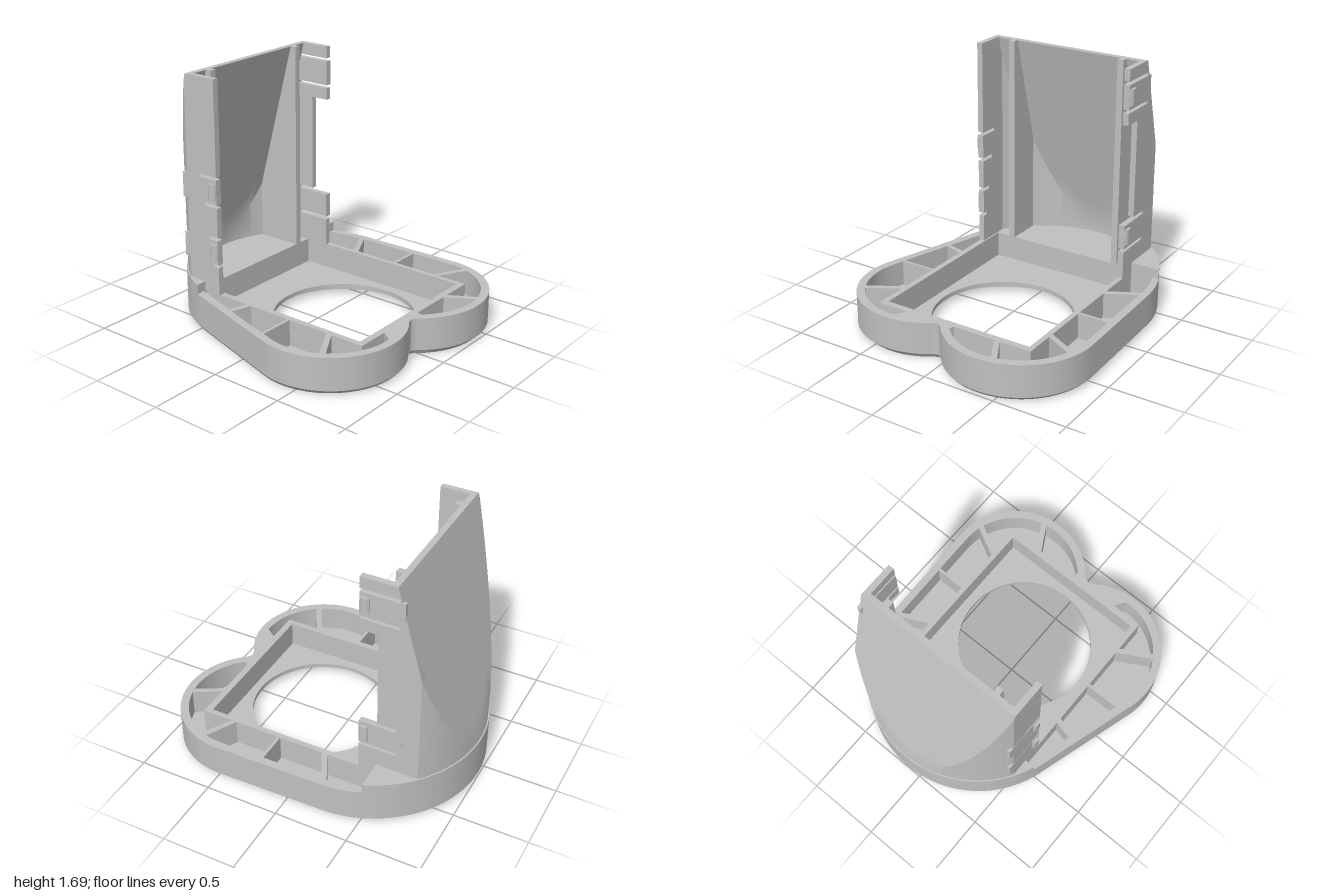
import * as THREE from 'three';
import { toCreasedNormals } from 'three/addons/utils/BufferGeometryUtils.js';

const DEG = Math.PI / 180;
const CX = -0.235, CZ = -0.1, R = 0.755;      // centre and radius of the round rear
const ZF = 0.54, ZB = -0.61, WALL = 0.04;     // tower side faces
const FLOOR = 0.25, TOP = 1.69, EDGE = -0.385;

// Points on an arc in the ground plane, as [x, z]
function arc(cx, cz, r, from, to, n = 32) {
  return Array.from({ length: n + 1 }, (_, i) => {
    const a = (from + (to - from) * i / n) * DEG;
    return [cx + r * Math.cos(a), cz + r * Math.sin(a)];
  });
}

// Ground-plane points as counterclockwise shape points
function loop(pts) {
  const out = pts.map(([x, z]) => new THREE.Vector2(x, -z));
  return THREE.ShapeUtils.isClockWise(out) ? out.reverse() : out;
}

// Horizontal slab between two heights, with holes
function slab(outline, holes, y0, y1) {
  const shape = new THREE.Shape(loop(outline));
  holes.forEach((h) => shape.holes.push(new THREE.Path(loop(h))));
  const g = new THREE.ExtrudeGeometry(shape, { depth: y1 - y0, bevelEnabled: false });
  return g.rotateX(-Math.PI / 2).translate(0, y0, 0);
}

// Upright plate drawn in x, y and extruded along z
function plate(pts, z0, z1) {
  const shape = new THREE.Shape(pts.map(([x, y]) => new THREE.Vector2(x, y)));
  return new THREE.ExtrudeGeometry(shape, { depth: z1 - z0, bevelEnabled: false }).translate(0, 0, z0);
}

function box(x0, x1, y0, y1, z0, z1) {
  return new THREE.BoxGeometry(x1 - x0, y1 - y0, z1 - z0)
    .translate((x0 + x1) / 2, (y0 + y1) / 2, (z0 + z1) / 2);
}

// Rear profile at one z: upright on the cylinder, then leaning along the slope
function rearProfile(z, inset) {
  const xc = CX - Math.sqrt((R - inset) ** 2 - (z - CZ) ** 2);
  const slope = (y) => -0.625 + inset - (TOP - y) * 0.27;
  const yc = THREE.MathUtils.clamp(TOP - (slope(TOP) - xc) / 0.27, FLOOR + 0.01, TOP - 0.02);
  const heights = [FLOOR, yc, Math.min(yc + 0.15, TOP - 0.01), TOP];
  return heights.map((y) => [Math.max(xc, slope(y)), y]);
}

// Curved rear skin; one row meets exactly on the crease
function rearSkin(z0, z1, inset, inward) {
  const n = 48, pos = [], idx = [];
  for (let i = 0; i <= n; i++) {
    const z = z0 + (z1 - z0) * i / n;
    rearProfile(z, inset).forEach(([x, y]) => pos.push(x, y, z));
  }
  for (let i = 0; i < n; i++) {
    for (let j = 0; j < 3; j++) {
      const a = i * 4 + j, b = a + 4, c = a + 1, d = b + 1;
      if (inward) idx.push(a, c, b, b, c, d);
      else idx.push(a, b, c, b, d, c);
    }
  }
  const g = new THREE.BufferGeometry();
  g.setAttribute('position', new THREE.Float32BufferAttribute(pos, 3));
  g.setIndex(idx);
  return g;
}

export function createModel() {
  const model = new THREE.Group();
  const grey = new THREE.MeshStandardMaterial({ color: 0xc0c0c0 });
  grey.name = 'grey plastic';
  function add(name, geometry, parent) {
    const mesh = new THREE.Mesh(toCreasedNormals(geometry, 0.45), grey);
    mesh.name = name;
    parent.add(mesh);
  }

  // Base outline: round rear and two front lobes with a small notch
  const outline = [
    ...arc(CX, CZ, 0.765, 107.5, 269, 48),
    ...arc(0.5, -0.38, 0.5, 270, 412, 48),
    [0.79, 0.035], [0.785, 0.052], [0.788, 0.07],
    ...arc(0.4, 0.38, 0.49, -36, 107, 48),
  ];
  const opening = (r) => arc(0.19, -0.04, r, 0, 354.375, 63);

  // Square pocket and the ribbed cells around it
  const cells = [
    [[-0.55, -0.575], [0.715, -0.575], [0.715, 0.49], [-0.55, 0.49]],
    [[-0.51, -0.77], [-0.38, -0.805], [-0.27, -0.815], [-0.165, -0.61], [-0.51, -0.61]],
    [[-0.23, -0.815], [0.18, -0.82], [0.18, -0.61], [-0.125, -0.61]],
    [[0.2, -0.822], ...arc(0.5, -0.38, 0.445, 270, 285, 6), [0.51, -0.61], [0.2, -0.61]],
    [...arc(0.5, -0.38, 0.445, 290, 346, 16), [0.76, -0.39], [0.76, -0.61], [0.55, -0.61]],
    [...arc(0.5, -0.38, 0.445, 351, 409, 16), [0.76, -0.055], [0.76, -0.35]],
    [[-0.51, 0.555], [-0.19, 0.655], [-0.16, 0.53], [-0.51, 0.53]],
    [[-0.165, 0.665], [0.18, 0.77], [0.18, 0.53], [-0.12, 0.53]],
    [[0.2, 0.775], ...arc(0.4, 0.38, 0.435, 107, 60, 10), [0.49, 0.53], [0.2, 0.53]],
    [...arc(0.4, 0.38, 0.435, 55, -3, 16), [0.76, 0.305], [0.76, 0.53], [0.53, 0.53]],
  ];
  const base = new THREE.Group();
  base.name = 'base';
  model.add(base);
  add('baseWalls', slab(outline, cells, 0.075, FLOOR), base);
  add('baseFloor', slab(outline, [opening(0.47)], 0.045, 0.075), base);
  add('openingStep', slab(outline, [opening(0.52)], 0.03, 0.045), base);

  // Chamfered underside: the lowest outer ring is drawn in
  const under = slab(outline, [opening(0.55)], 0, 0.03);
  const p = under.attributes.position;
  for (let i = 0; i < p.count; i++) {
    const x = p.getX(i), z = p.getZ(i);
    if (p.getY(i) < 0.01 && Math.hypot(x - 0.19, z + 0.04) > 0.56) p.setXYZ(i, x * 0.97, 0, z * 0.97);
  }
  add('baseChamfer', under, base);

  // Raised collar around the foot of the tower
  const inner = (z) => Math.acos(-Math.sqrt(1 - ((z - CZ) / 0.73) ** 2)) / DEG;
  add('collar', slab([
    ...arc(CX, CZ, 0.765, 111.1, 248.9, 48),
    [-0.51, ZB + 0.01],
    ...arc(CX, CZ, 0.73, 360 - inner(ZB + 0.01), inner(ZF - 0.01), 40),
    [-0.51, ZF - 0.01],
  ], [], FLOOR, 0.315), base);

  // Tower: rear skins, top rim, ribs
  const tower = new THREE.Group();
  tower.name = 'tower';
  model.add(tower);
  add('rearOutside', rearSkin(ZB, ZF, 0, false), tower);
  add('rearInside', rearSkin(ZB + WALL, ZF - WALL, WALL, true), tower);
  add('topRim', box(-0.625, -0.585, TOP - 0.004, TOP, ZB, ZF), tower);
  for (const z of [0.37, -0.455]) {
    add('innerRib', plate([[-0.545, FLOOR], [-0.545, TOP], ...rearProfile(z, 0.02).reverse()],
      z - 0.022, z + 0.022), tower);
  }

  // Side walls with slots either side of every clip; the back one is cut away between its clips
  const sides = [
    { name: 'frontWall', z0: ZF - WALL, face: ZF, dir: 1, clips: [0.545, 0.955], cut: [] },
    { name: 'backWall', z0: ZB, face: ZB, dir: -1, clips: [0.545, 1.505],
      cut: [[-0.51, 0.65], [-0.51, 1.32], [EDGE, 1.32]] },
  ];
  for (const s of sides) {
    const slots = (c) => [c - 0.105, c + 0.083].flatMap((y) => [
      [EDGE, y], [-0.638, y], [-0.638, y + 0.022], [EDGE, y + 0.022]]);
    const lower = slots(s.clips[0]);
    if (s.cut.length) lower.pop();
    add(s.name, plate([[EDGE, FLOOR], ...lower, ...s.cut, ...slots(s.clips[1]), [EDGE, TOP],
      ...rearProfile(s.face, 0).reverse()], s.z0, s.z0 + WALL), tower);

    // Clip tongues with a rounded catch
    for (const c of s.clips) {
      const a = s.face - s.dir * 0.025, b = s.face + s.dir * 0.002;
      add('clipTongue', box(-0.675, EDGE, c - 0.083, c + 0.083, Math.min(a, b), Math.max(a, b)), tower);
      const catchGeometry = new THREE.CylinderGeometry(0.032, 0.032, 0.11, 24);
      catchGeometry.scale(1, 1, 0.65).translate(-0.42, c, s.face);
      add('clipCatch', catchGeometry, tower);
    }
  }
  return model;
}
